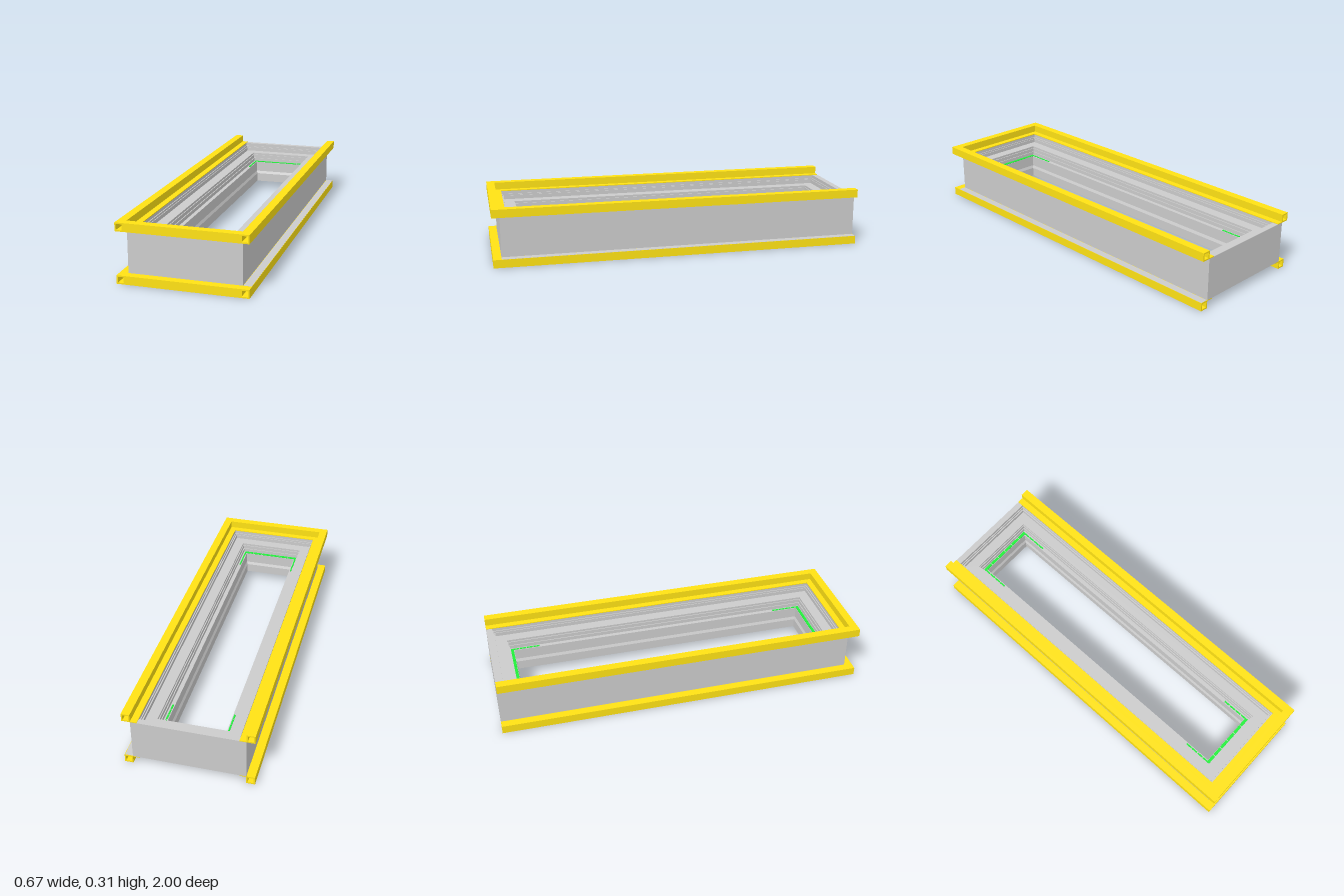
import * as THREE from 'three';

const HX = 0.289, HZ = 0.978, CZ = -0.022; // body half sizes and centre
const LOW = 0.044, HIGH = 0.267, TOP = 0.311;

const paint = (color) => new THREE.MeshStandardMaterial({ color, flatShading: true, side: THREE.DoubleSide });
const grey = paint(0xcccccc), pale = paint(0xf4f4f4), yellow = paint(0xffe214), green = paint(0x22f03c);

// Sweep a profile of [inset, y] points around the rectangular body
function frameRing(profile, closed = true) {
  const corners = [[1, 1], [1, -1], [-1, -1], [-1, 1]];
  const at = (c, [d, y]) => [c[0] * (HX - d), y, CZ + c[1] * (HZ - d)];
  const pos = [];
  const n = closed ? profile.length : profile.length - 1;
  for (let i = 0; i < n; i++) {
    const p = profile[i], q = profile[(i + 1) % profile.length];
    for (let k = 0; k < 4; k++) {
      const a = corners[k], b = corners[(k + 1) % 4];
      pos.push(...at(a, p), ...at(b, p), ...at(b, q), ...at(a, p), ...at(b, q), ...at(a, q));
    }
  }
  const g = new THREE.BufferGeometry();
  g.setAttribute('position', new THREE.Float32BufferAttribute(pos, 3));
  g.computeVertexNormals();
  return g;
}

function add(parent, name, geometry, material) {
  const m = new THREE.Mesh(geometry, material);
  m.name = name;
  parent.add(m);
  return m;
}

function box(parent, name, material, x0, x1, y0, y1, z0, z1) {
  const m = add(parent, name, new THREE.BoxGeometry(x1 - x0, y1 - y0, z1 - z0), material);
  m.position.set((x0 + x1) / 2, (y0 + y1) / 2, (z0 + z1) / 2);
  return m;
}

// Hollow square tube along z, open at its back end
function tubeRail(length) {
  const s = 0.044, w = 0.007;
  const shape = new THREE.Shape([[0, 0], [s, 0], [s, s], [0, s]].map((p) => new THREE.Vector2(...p)));
  shape.holes.push(new THREE.Path([[w, w], [w, s - w], [s - w, s - w], [s - w, w]].map((p) => new THREE.Vector2(...p))));
  return new THREE.ExtrudeGeometry(shape, { depth: length, bevelEnabled: false });
}

// U-shaped rail: two side tubes, a front tube and a thin inner lip
function railFrame(name, y, lipY) {
  const g = new THREE.Group();
  g.name = name;
  for (const s of [-1, 1]) {
    const tube = add(g, 'sideRail', tubeRail(2), yellow);
    tube.position.set(s > 0 ? HX : -HX - 0.044, y, -1);
    const x = s * (HX - 0.017);
    box(g, 'sideLip', yellow, x - 0.017, x + 0.017, lipY, lipY + 0.004, -1, 0.956);
  }
  box(g, 'frontRail', yellow, -HX, HX, y, y + 0.044, 0.956, 1);
  box(g, 'frontLip', yellow, -0.256, 0.256, lipY, lipY + 0.004, 0.922, 0.956);
  return g;
}

export function createModel() {
  const model = new THREE.Group();
  model.name = 'frame';

  // Body: outer wall, stepped inner ledges, bevelled opening, flat underside
  add(model, 'body', frameRing([
    [0, LOW], [0, HIGH], [0.033, HIGH], [0.033, 0.25], [0.038, 0.25], [0.038, 0.237],
    [0.043, 0.237], [0.043, 0.243], [0.047, 0.243], [0.047, 0.222],
    [0.104, 0.222], [0.104, 0.21], [0.109, 0.21], [0.109, 0.19], [0.114, 0.19], [0.114, 0.17],
    [0.136, 0.17], [0.136, 0.11], [0.143, 0.095], [0.143, LOW],
    [0.125, LOW], [0.125, LOW + 0.004], [0.115, LOW + 0.004], [0.115, LOW],
  ]), grey);
  add(model, 'openingBevel', frameRing([[0.1365, 0.11], [0.1435, 0.095]], false), pale);
  box(model, 'backRim', pale, -0.256, 0.256, HIGH - 0.004, HIGH + 0.001, -1, -0.967);

  // Rails above and below the body
  model.add(railFrame('upperRails', HIGH, HIGH));
  model.add(railFrame('lowerRails', 0, LOW - 0.004));

  // Grey cover strips on the rail faces turned towards each other
  for (const s of [-1, 1]) {
    const x = s * (HX + 0.022);
    box(model, 'upperCover', grey, x - 0.02, x + 0.02, HIGH - 0.0006, HIGH + 0.001, -0.998, 0.956);
  }
  box(model, 'lowerCover', grey, HX + 0.002, 0.331, LOW - 0.001, LOW + 0.0006, -0.998, 0.956);

  // Green light strips: full rows at both ends, short returns on the sides
  const lights = new THREE.Group();
  lights.name = 'lightStrips';
  model.add(lights);
  const y0 = 0.17, y1 = 0.173;
  for (const e of [-1, 1]) {
    const z = CZ + e * (HZ - 0.126);
    for (let i = 0; i < 6; i++) {
      const x = -0.14 + i * 0.056;
      box(lights, 'endLight', green, x - 0.026, x + 0.026, y0, y1, z - 0.008, z + 0.008);
    }
    for (const s of [-1, 1]) for (let i = 0; i < 4; i++) {
      const zc = z - e * (0.02 + i * 0.039), x = s * (HX - 0.127);
      box(lights, 'sideLight', green, x - 0.004, x + 0.004, y0, y1, zc - 0.017, zc + 0.017);
    }
  }
  return model;
}
